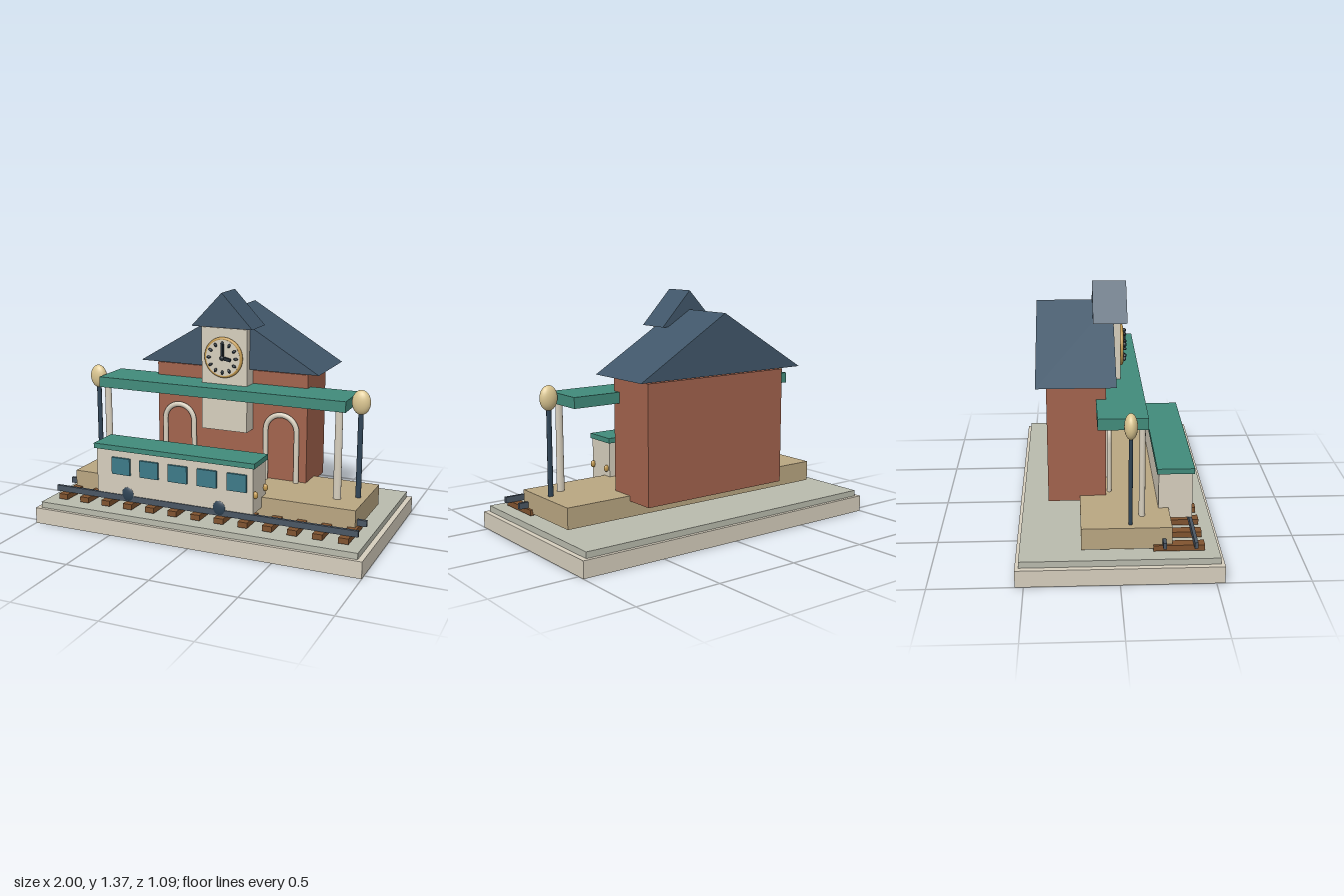
import * as THREE from 'three';

const COLORS = {
  stone: 0xd6cebd, paving: 0xb9bbad, platform: 0xb9a681, brick: 0xa2634d, roof: 0x41576a,
  green: 0x418b7b, glass: 0x3d7a88, iron: 0x4a5663, navy: 0x2e4355, wood: 0x80532f,
  gold: 0xc39a50, lamp: 0xdcc792, dark: 0x1f2a33,
};
const mats = {};
for (const [key, color] of Object.entries(COLORS)) mats[key] = new THREE.MeshStandardMaterial({ color });

export function createModel() {
  const model = new THREE.Group();
  model.name = 'railwayStation';

  const add = (name, geo, mat, parent = model) => {
    const mesh = new THREE.Mesh(geo, mats[mat]);
    mesh.name = name;
    parent.add(mesh);
    return mesh;
  };
  // Box given by its limits on each axis
  const box = (name, mat, [x0, x1], [y0, y1], [z0, z1], parent) => {
    const geo = new THREE.BoxGeometry(x1 - x0, y1 - y0, z1 - z0);
    geo.translate((x0 + x1) / 2, (y0 + y1) / 2, (z0 + z1) / 2);
    return add(name, geo, mat, parent);
  };
  const ellipsoid = (name, mat, [x, y, z], [rx, ry, rz], parent) => {
    const geo = new THREE.SphereGeometry(1, 24, 16);
    geo.scale(rx, ry, rz).translate(x, y, z);
    return add(name, geo, mat, parent);
  };
  // Upright column with an oval section
  const column = (name, mat, x, z, [y0, y1], [rTop, rBottom], depth, parent) => {
    const geo = new THREE.CylinderGeometry(rTop, rBottom, y1 - y0, 20);
    geo.scale(1, 1, depth).translate(x, (y0 + y1) / 2, z);
    return add(name, geo, mat, parent);
  };
  // Gabled roof with its ridge along z
  const gable = (name, halfWidth, [y0, y1], [z0, z1]) => {
    const shape = new THREE.Shape();
    shape.moveTo(-halfWidth, y0).lineTo(halfWidth, y0).lineTo(0, y1).closePath();
    const geo = new THREE.ExtrudeGeometry(shape, { depth: z1 - z0, bevelEnabled: false });
    geo.translate(0, 0, z0);
    return add(name, geo, 'roof');
  };

  // Ground and platform
  box('base', 'stone', [-1, 1], [0, 0.095], [-0.545, 0.545]);
  box('pavingSlab', 'paving', [-0.97, 0.97], [0.095, 0.13], [-0.525, 0.525]);
  box('platform', 'platform', [-0.88, 0.88], [0.145, 0.265], [-0.2, 0.277]);

  // Station building and clock tower
  box('stationHall', 'brick', [-0.48, 0.48], [0.235, 0.91], [-0.375, -0.055]);
  gable('hallRoof', 0.563, [0.925, 1.262], [-0.43, 0]);
  box('clockTower', 'stone', [-0.143, 0.143], [0.555, 1.162], [-0.075, 0.04]);
  gable('towerRoof', 0.19, [1.17, 1.37], [-0.115, 0.077]);

  // Arched door surrounds: two straight legs and a half ring
  for (const side of [-1, 1]) {
    const path = new THREE.CurvePath();
    const r = 0.096, spring = 0.568;
    const v = (x, y) => new THREE.Vector3(x, y, 0);
    path.add(new THREE.LineCurve3(v(-r, 0.26), v(-r, spring)));
    const arc = [];
    for (let i = 0; i <= 12; i++) {
      const a = Math.PI * (1 - i / 12);
      arc.push(v(r * Math.cos(a), spring + r * Math.sin(a)));
    }
    path.add(new THREE.CatmullRomCurve3(arc));
    path.add(new THREE.LineCurve3(v(r, spring), v(r, 0.26)));
    const geo = new THREE.TubeGeometry(path, 80, 0.016, 12, false);
    geo.scale(1, 1, 0.78).translate(side * 0.328, 0, -0.035);
    add(side > 0 ? 'leftDoorArch' : 'rightDoorArch', geo, 'stone');
  }

  // Clock
  const clock = new THREE.Group();
  clock.name = 'clock';
  clock.position.set(0, 0.993, 0.04);
  model.add(clock);
  const rim = new THREE.TorusGeometry(0.109, 0.011, 12, 48);
  rim.translate(0, 0, 0.009);
  add('clockRim', rim, 'gold', clock);
  const face = new THREE.CylinderGeometry(0.106, 0.106, 0.022, 48);
  face.rotateX(Math.PI / 2).translate(0, 0, 0.009);
  add('clockFace', face, 'stone', clock);
  for (let i = 0; i < 12; i++) {
    const mark = ellipsoid('hourMark', 'dark', [0, 0.085, 0.028], [0.008, 0.013, 0.01], clock);
    mark.rotation.z = (i * Math.PI) / 6;
  }
  box('minuteHand', 'dark', [-0.007, 0.007], [-0.008, 0.083], [0.02, 0.036], clock);
  box('hourHand', 'dark', [-0.008, 0.052], [-0.009, 0.009], [0.02, 0.036], clock).rotation.z = -0.2;
  ellipsoid('handPivot', 'dark', [0, 0, 0.03], [0.015, 0.015, 0.013], clock);

  // Platform canopy, its posts and the lamps
  box('canopy', 'green', [-0.77, 0.77], [0.77, 0.832], [-0.108, 0.155]);
  for (const side of [-1, 1]) {
    column('canopyPost', 'stone', side * 0.727, 0.127, [0.265, 0.77], [0.021, 0.023], 0.75);
    column('lampPole', 'navy', side * 0.83, 0.06, [0.265, 0.76], [0.015, 0.016], 0.7);
    ellipsoid('lampGlobe', 'lamp', [side * 0.83, 0.813, 0.06], [0.053, 0.07, 0.035]);
  }

  // Track
  for (let i = -6; i <= 6; i++) {
    const x = i * 0.1445;
    box('sleeper', 'wood', [x - 0.028, x + 0.028], [0.136, 0.168], [0.178, 0.448]);
  }
  for (const z of [0.235, 0.398]) {
    box('rail', 'iron', [-0.935, 0.935], [0.168, 0.203], [z - 0.009, z + 0.009]);
  }

  // Railway carriage
  const carriage = new THREE.Group();
  carriage.name = 'carriage';
  model.add(carriage);
  box('carriageBody', 'stone', [-0.65, 0.335], [0.205, 0.47], [0.222, 0.406], carriage);
  box('carriageRoof', 'green', [-0.665, 0.345], [0.47, 0.5], [0.212, 0.414], carriage);
  for (let i = 0; i < 5; i++) {
    const x = -0.487 + i * 0.182;
    box('window', 'glass', [x - 0.059, x + 0.059], [0.33, 0.43], [0.4, 0.42], carriage);
  }
  for (const x of [-0.45, 0.13]) {
    ellipsoid('wheel', 'navy', [x, 0.213, 0.4], [0.041, 0.046, 0.015], carriage);
  }
  for (const z of [0.245, 0.391]) {
    ellipsoid('headlamp', 'gold', [0.343, 0.314, z], [0.016, 0.021, 0.012], carriage);
  }

  return model;
}
